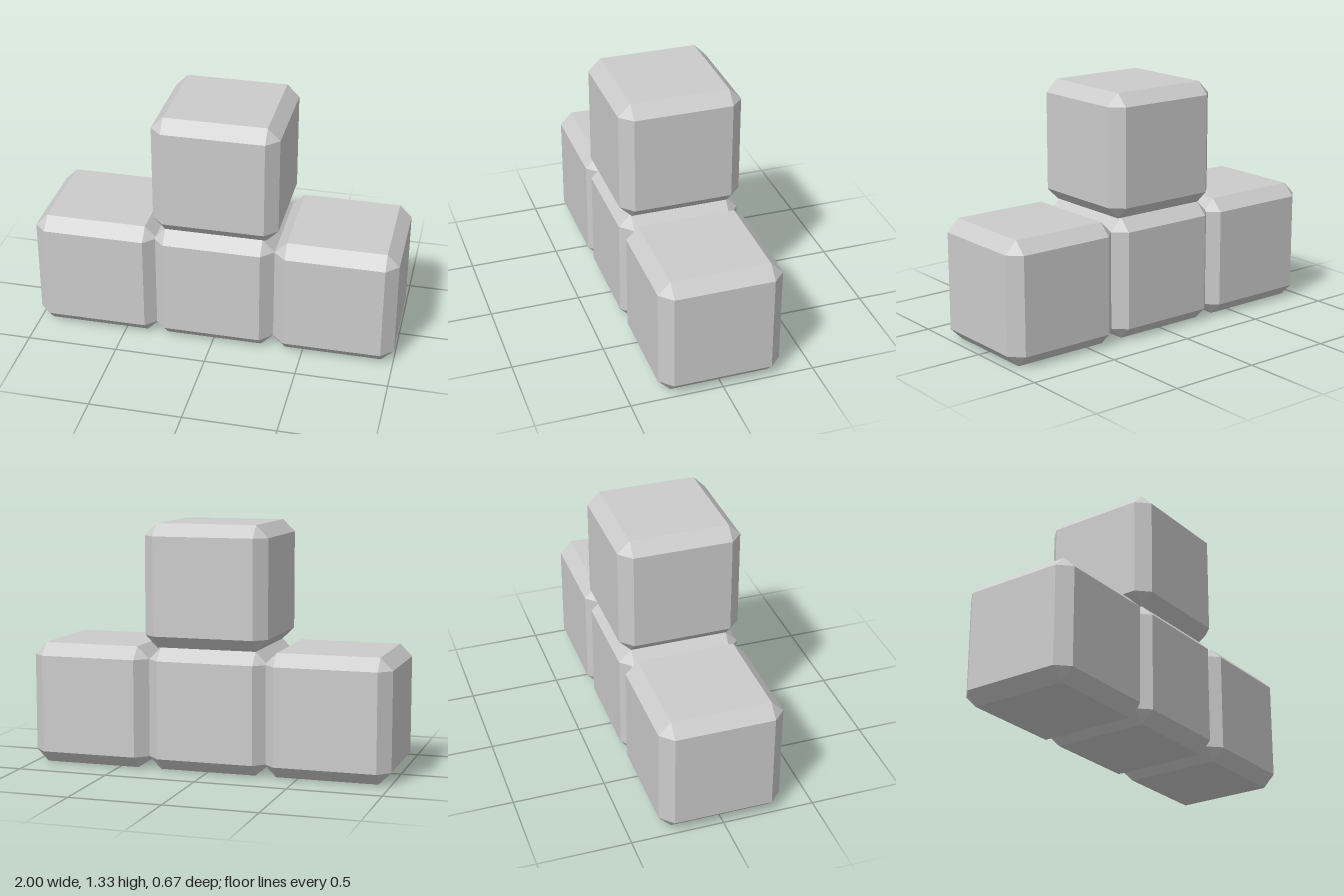
import * as THREE from 'three';
import { ConvexGeometry } from 'three/addons/geometries/ConvexGeometry.js';

const BEVEL = 0.0665;

// Box with flat chamfered edges and triangular corners
function chamferedBox(width, height, depth) {
  const half = [width / 2, height / 2, depth / 2];
  const points = [];
  for (const sx of [-1, 1]) for (const sy of [-1, 1]) for (const sz of [-1, 1]) {
    const signs = [sx, sy, sz];
    for (let axis = 0; axis < 3; axis++) {
      const p = half.map((h, i) => signs[i] * (i === axis ? h : h - BEVEL));
      points.push(new THREE.Vector3(...p));
    }
  }
  return new ConvexGeometry(points);
}

export function createModel() {
  const group = new THREE.Group();
  group.name = 'blockPiece';
  const material = new THREE.MeshStandardMaterial({ color: 0xcccccc, flatShading: true });

  // name, x from, x to, bottom
  const blocks = [
    ['rightBlock', -1, -0.314, 0],
    ['middleBlock', -0.333, 0.333, 0],
    ['leftBlock', 0.333, 1, 0],
    ['topBlock', -0.333, 0.352, 0.667],
  ];
  const size = 0.667;
  for (const [name, x0, x1, y0] of blocks) {
    const mesh = new THREE.Mesh(chamferedBox(x1 - x0, size, size), material);
    mesh.position.set((x0 + x1) / 2, y0 + size / 2, 0);
    mesh.name = name;
    group.add(mesh);
  }
  return group;
}
